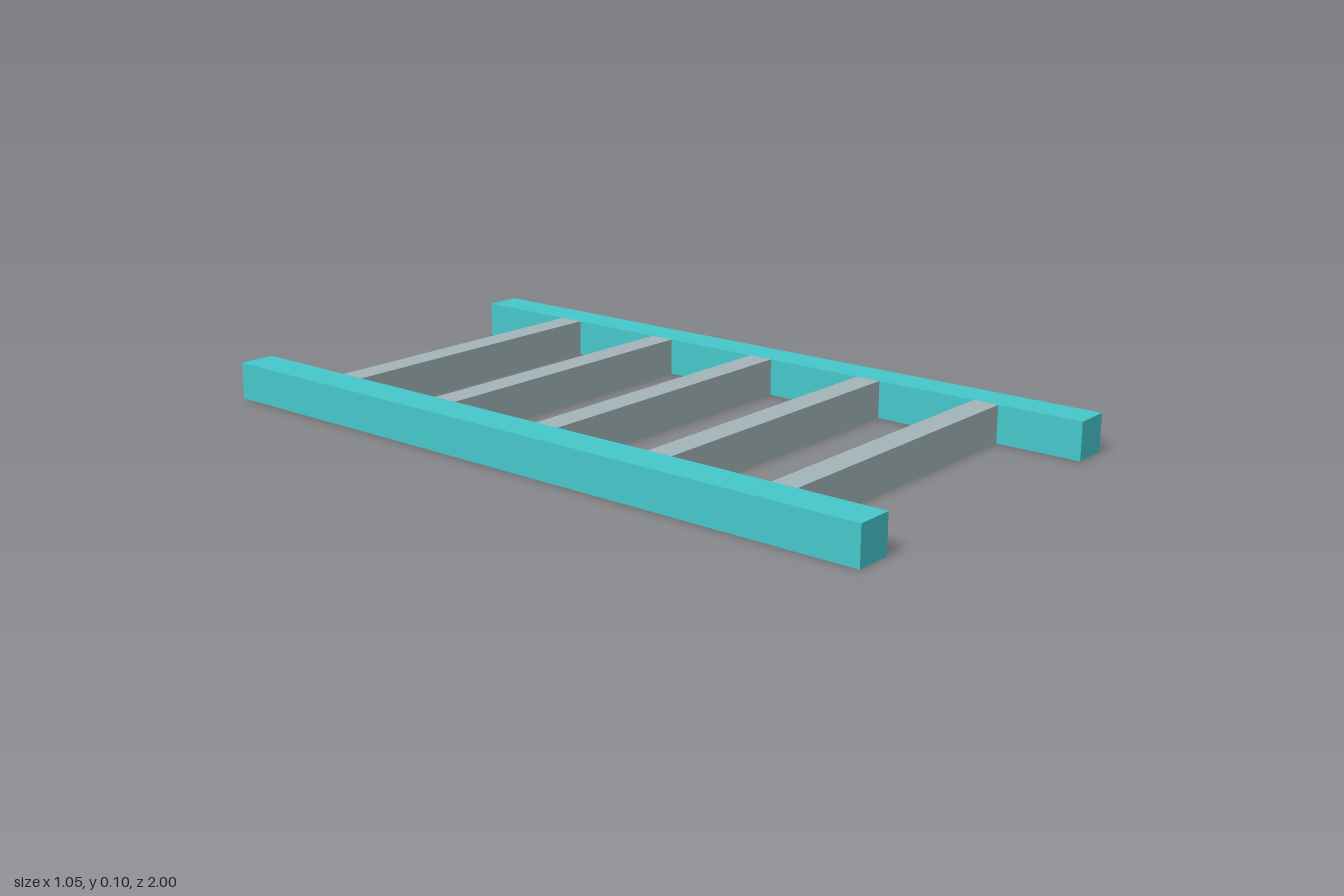
import * as THREE from 'three';

export function createModel() {
  const model = new THREE.Group();
  model.name = 'ladder';

  const teal = new THREE.MeshStandardMaterial({ color: 0x46c7cb });
  teal.name = 'teal';
  const grey = new THREE.MeshStandardMaterial({ color: 0xa3b4b8 });
  grey.name = 'grey';

  const height = 0.1;
  const addBar = (name, material, width, depth, x, z) => {
    const bar = new THREE.Mesh(new THREE.BoxGeometry(width, height, depth), material);
    bar.name = name;
    bar.position.set(x, height / 2, z);
    model.add(bar);
  };

  // Two long side rails
  addBar('leftRail', teal, 0.1, 2, 0.475, 0);
  addBar('rightRail', teal, 0.1, 2, -0.475, 0);

  // Five evenly spaced rungs between the rails
  for (let i = 0; i < 5; i++) {
    addBar(`rung${i + 1}`, grey, 0.85, 0.07, 0, -0.665 + i * 0.35);
  }

  return model;
}
